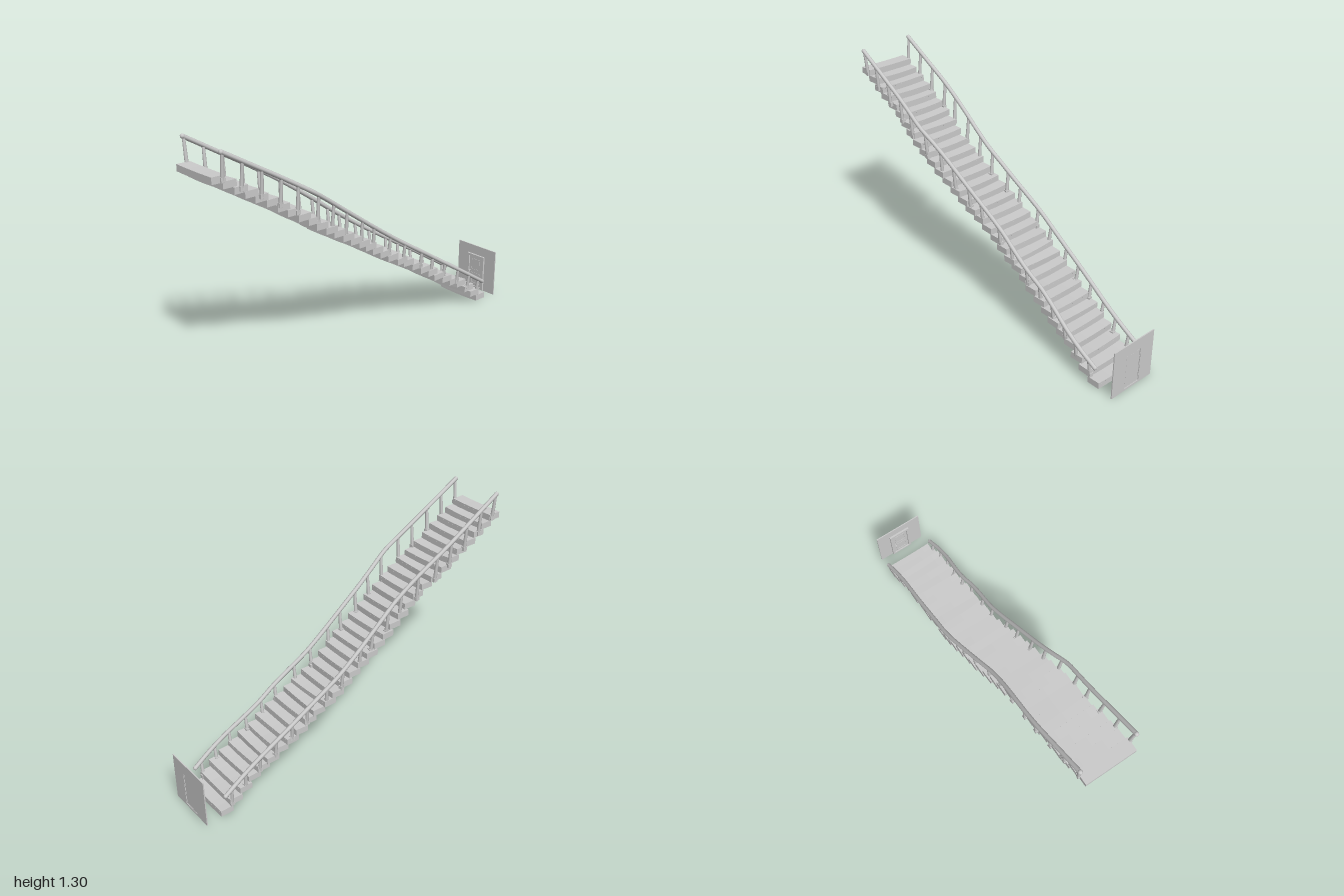
import * as THREE from 'three';
import { mergeGeometries } from 'three/addons/utils/BufferGeometryUtils.js';

const STEPS = 32;
const material = new THREE.MeshStandardMaterial({ color: 0xcccccc, flatShading: true });
const smooth = new THREE.MeshStandardMaterial({ color: 0xcccccc });

// Linear interpolation through [x, value] pairs
function sample(table, x) {
  for (let i = 1; i < table.length; i++) {
    const [x0, v0] = table[i - 1], [x1, v1] = table[i];
    if (x <= x1 || i === table.length - 1) return v0 + (v1 - v0) * (x - x0) / (x1 - x0);
  }
}

// Small seeded random, -1..1
let seed = 7;
function wobble() {
  seed = (seed * 16807) % 2147483647;
  return seed / 1073741823.5 - 1;
}

function add(parent, name, geometry, mat = material) {
  const mesh = new THREE.Mesh(geometry, mat);
  mesh.name = name;
  parent.add(mesh);
  return mesh;
}

// Tread height, sideways drift of the flight, and handrail paths
const treadY = [[-1, 1.19], [-0.7, 1.015], [-0.44, 0.855], [-0.2, 0.7], [0, 0.585], [0.2, 0.46],
  [0.31, 0.405], [0.5, 0.285], [0.7, 0.175], [0.87, 0.045]];
const centreZ = [[-1, 0], [-0.62, 0], [-0.45, 0.022], [-0.28, 0.005], [0.12, -0.03], [0.4, -0.015],
  [0.75, 0.004], [0.9, 0]];
const railY = [[-0.95, 1.29], [-0.6, 1.088], [-0.4, 0.965], [-0.2, 0.825], [0, 0.685], [0.2, 0.555],
  [0.4, 0.432], [0.6, 0.31], [0.88, 0.135]];
const backZ = [[-0.95, -0.155], [-0.6, -0.16], [-0.27, -0.135], [0.14, -0.175], [0.5, -0.16],
  [0.73, -0.145], [0.88, -0.151]];
const frontZ = [[-0.95, 0.158], [-0.6, 0.162], [-0.45, 0.172], [-0.27, 0.146], [0.14, 0.115],
  [0.35, 0.132], [0.5, 0.126], [0.73, 0.156], [0.88, 0.147]];
const postX = [-0.945, -0.84, -0.735, -0.625, -0.53, -0.405, -0.295, -0.2, -0.085, 0.005, 0.135,
  0.24, 0.365, 0.46, 0.56, 0.66, 0.75, 0.84];

// Crooked, slightly sagging treads with a row of nails along the nose
function makeSteps() {
  const steps = new THREE.Group();
  steps.name = 'steps';
  for (let i = 0; i < STEPS; i++) {
    const edge = i === 0 || i === STEPS - 1;
    const x = -0.962 + 1.835 * i / (STEPS - 1);
    const sag = 0.004 + 0.002 * wobble();
    const width = 0.288 + (edge ? 0 : 0.008 * wobble());
    const board = new THREE.BoxGeometry(0.075, 0.035, width, 1, 1, 6);
    const p = board.attributes.position;
    for (let k = 0; k < p.count; k++) {
      const t = p.getZ(k) / (width / 2);
      p.setY(k, p.getY(k) - sag * (1 - t * t));
    }
    const step = new THREE.Group();
    step.name = 'step';
    add(step, 'tread', board);
    const nails = [];
    for (let n = 0; n < 8; n++) {
      const t = (n - 3.5) / 4;
      nails.push(new THREE.CylinderGeometry(0.0016, 0.0016, 0.003, 6).rotateZ(Math.PI / 2)
        .translate(0.038, 0.009 - sag * (1 - t * t), t * width / 2));
    }
    add(step, 'nails', mergeGeometries(nails));
    step.position.set(x, sample(treadY, x) - 0.0175, sample(centreZ, x));
    if (!edge) step.rotation.set(0.018 * wobble(), 0.03 * wobble(), 0.03 * wobble());
    steps.add(step);
  }
  return steps;
}

// Handrail on leaning, tapered posts
function makeRailing(name, zTable, side) {
  const railing = new THREE.Group();
  railing.name = name;
  const drop = (x) => side > 0 ? 0.012 * Math.abs(x) : 0;
  const top = (x) => new THREE.Vector3(x, sample(railY, x) - drop(x), sample(zTable, x));

  const points = [];
  for (let i = 0; i <= 18; i++) points.push(top(-0.95 + 1.83 * i / 18));
  const curve = new THREE.CatmullRomCurve3(points);
  add(railing, 'handrail', new THREE.TubeGeometry(curve, 54, 0.0115, 8), smooth);
  for (const end of [points[0], points[18]]) {
    add(railing, 'railEnd', new THREE.SphereGeometry(0.0125, 8, 6), smooth).position.copy(end);
  }

  for (const x of postX) {
    const head = top(x);
    const foot = new THREE.Vector3(x + 0.004 * wobble(), sample(treadY, x) - 0.025,
      head.z - side * 0.014);
    const dir = head.clone().sub(foot);
    const post = add(railing, 'post', new THREE.CylinderGeometry(0.008, 0.0105, dir.length(), 8), smooth);
    post.position.copy(foot).addScaledVector(dir, 0.5);
    post.quaternion.setFromUnitVectors(new THREE.Vector3(0, 1, 0), dir.normalize());
    const block = add(railing, 'postFoot', new THREE.BoxGeometry(0.024, 0.022, 0.022));
    block.position.set(foot.x, foot.y + 0.014, foot.z);
    block.rotation.y = 0.2 * wobble();
  }
  return railing;
}

function rectangle(Type, z0, z1, y0, y1) {
  const r = new Type();
  r.moveTo(z0, y0).lineTo(z1, y0).lineTo(z1, y1).lineTo(z0, y1).closePath();
  return r;
}

// Upright slab from x0 to x1, drawn in z and y with an optional opening
function slab(outer, hole, x0, x1) {
  const shape = rectangle(THREE.Shape, ...outer);
  if (hole) shape.holes.push(rectangle(THREE.Path, ...hole));
  return new THREE.ExtrudeGeometry(shape, { depth: x1 - x0, bevelEnabled: false })
    .rotateY(-Math.PI / 2).scale(1, 1, 1).translate(x1, 0, 0);
}

// Wall at the foot of the stairs, its door facing the steps
function makeDoorway() {
  const doorway = new THREE.Group();
  doorway.name = 'doorway';
  const opening = [-0.053, 0.053, 0.012, 0.212];
  add(doorway, 'wall', slab([-0.146, 0.146, 0, 0.28], opening, 0.994, 1));
  add(doorway, 'doorFrame', slab([-0.065, 0.065, 0.004, 0.223], [-0.05, 0.05, 0.014, 0.209], 0.983, 0.998));
  add(doorway, 'door', slab([-0.048, 0.048, 0.015, 0.207], null, 0.989, 0.997));
  add(doorway, 'doorBack', slab(opening, null, 0.992, 0.995));
  for (const [y0, y1] of [[0.03, 0.1], [0.12, 0.193]]) {
    add(doorway, 'doorPanel', slab([-0.034, 0.034, y0, y1], [-0.029, 0.029, y0 + 0.005, y1 - 0.005], 0.987, 0.99));
  }
  add(doorway, 'knobStem', new THREE.CylinderGeometry(0.003, 0.003, 0.016, 8).rotateZ(Math.PI / 2), smooth)
    .position.set(0.982, 0.11, -0.04);
  add(doorway, 'knob', new THREE.SphereGeometry(0.006, 10, 8), smooth).position.set(0.977, 0.11, -0.04);
  return doorway;
}

export function createModel() {
  seed = 7;
  const model = new THREE.Group();
  model.name = 'crookedStaircase';
  model.add(makeSteps());
  model.add(makeRailing('leftFrontRailing', frontZ, 1));
  model.add(makeRailing('backRailing', backZ, -1));
  model.add(makeDoorway());
  return model;
}
